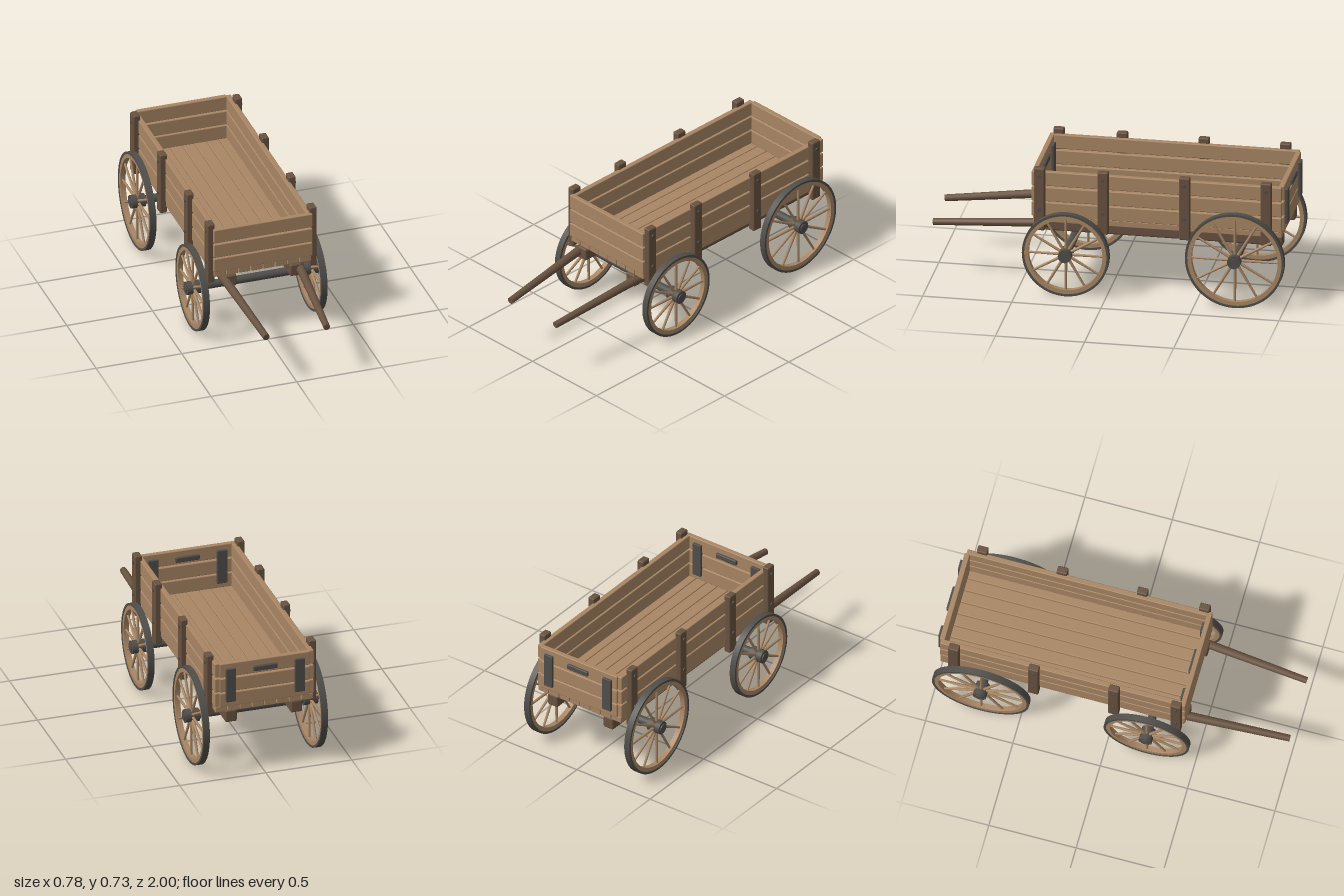
import * as THREE from 'three';
import { toCreasedNormals } from 'three/addons/utils/BufferGeometryUtils.js';
import { RoundedBoxGeometry } from 'three/addons/geometries/RoundedBoxGeometry.js';

const material = (name, color) => {
  const m = new THREE.MeshStandardMaterial({ color });
  m.name = name;
  return m;
};

export function createModel() {
  const plankWood = material('plank wood', 0xa88664);
  const darkWood = material('dark wood', 0x685240);
  const iron = material('iron', 0x504e4a);

  const model = new THREE.Group();
  model.name = 'wagon';

  const add = (parent, name, geometry, mat) => {
    const mesh = new THREE.Mesh(geometry, mat);
    mesh.name = name;
    parent.add(mesh);
    return mesh;
  };

  // Softened box given by its extents on each axis
  const block = (parent, name, mat, [x0, x1], [y0, y1], [z0, z1], radius = 0.005) => {
    const geometry = new RoundedBoxGeometry(x1 - x0, y1 - y0, z1 - z0, 2, radius);
    const mesh = add(parent, name, geometry, mat);
    mesh.position.set((x0 + x1) / 2, (y0 + y1) / 2, (z0 + z1) / 2);
    return mesh;
  };

  // Tapered round bar between two points
  const bar = (parent, name, mat, from, to, r0, r1, sides = 16) => {
    const a = new THREE.Vector3(...from);
    const b = new THREE.Vector3(...to);
    const dir = b.clone().sub(a);
    const mesh = add(parent, name, new THREE.CylinderGeometry(r1, r0, dir.length(), sides), mat);
    mesh.position.copy(a).add(b).multiplyScalar(0.5);
    mesh.quaternion.setFromUnitVectors(new THREE.Vector3(0, 1, 0), dir.normalize());
    return mesh;
  };

  // Flat ring with its axis along x
  const ring = (outer, inner, width) => {
    const shape = new THREE.Shape().absarc(0, 0, outer, 0, Math.PI * 2, false);
    shape.holes.push(new THREE.Path().absarc(0, 0, inner, 0, Math.PI * 2, true));
    const geometry = new THREE.ExtrudeGeometry(shape, { depth: width, bevelEnabled: false, curveSegments: 56 });
    geometry.translate(0, 0, -width / 2).rotateY(Math.PI / 2);
    return toCreasedNormals(geometry, 0.5);
  };

  // Floor planks
  const floor = new THREE.Group();
  floor.name = 'floor';
  model.add(floor);
  for (let i = 0; i < 8; i++) {
    const x = (i - 3.5) * 0.0712;
    block(floor, 'floorPlank', plankWood, [x - 0.034, x + 0.034], [0.403, 0.438], [-0.975, 0.42], 0.004);
  }

  // Three rows of boards on every wall
  const walls = new THREE.Group();
  walls.name = 'walls';
  model.add(walls);
  for (const y of [0.438, 0.528, 0.62]) {
    const span = [y, y + 0.083];
    block(walls, 'frontBoard', plankWood, [-0.288, 0.288], span, [0.4, 0.428]);
    block(walls, 'backBoard', plankWood, [-0.262, 0.262], span, [-0.985, -0.955]);
    block(walls, 'rightBoard', plankWood, [-0.288, -0.258], span, [-0.975, 0.402]);
    block(walls, 'leftBoard', plankWood, [0.258, 0.288], span, [-0.975, 0.402]);
  }

  // Iron straps and grips on the end walls
  for (const [z0, z1] of [[0.385, 0.403], [-1, -0.982]]) {
    for (const x of [-0.2, 0.2]) {
      block(walls, 'endStrap', iron, [x - 0.029, x + 0.029], [0.47, 0.673], [z0, z1], 0.003);
    }
    block(walls, 'grip', iron, [-0.07, 0.07], [0.637, 0.668], [z0, z1], 0.006);
  }

  for (const side of [-1, 1]) {
    const half = new THREE.Group();
    half.name = side > 0 ? 'leftSide' : 'rightSide';
    model.add(half);
    const across = (a, b) => (side > 0 ? [a, b] : [-b, -a]);

    // Upright posts with bolts
    for (const z of [0.38, 0.024, -0.435, -0.892]) {
      block(half, 'post', darkWood, across(0.277, 0.318), [0.364, 0.733], [z - 0.03, z + 0.03], 0.007);
      for (const y of [0.487, 0.685]) {
        bar(half, 'bolt', iron, [side * 0.31, y, z], [side * 0.324, y, z], 0.011, 0.01, 12);
      }
    }

    // Rail under the floor and the pulling shaft
    block(half, 'underRail', darkWood, across(0.156, 0.224), [0.33, 0.403], [-0.97, 0.432], 0.01);
    bar(half, 'shaft', darkWood, [side * 0.224, 0.378, 0.34], [side * 0.176, 0.315, 0.998], 0.026, 0.019, 12);
  }

  // Axles and spoked wheels
  for (const [label, z, radius] of [['front', 0.225, 0.244], ['rear', -0.724, 0.278]]) {
    bar(model, label + 'Axle', iron, [-0.39, radius, z], [0.39, radius, z], 0.0235, 0.0235, 20);
    for (const side of [-1, 1]) {
      const wheel = new THREE.Group();
      wheel.name = label + (side > 0 ? 'LeftWheel' : 'RightWheel');
      wheel.position.set(side * 0.343, radius, z);
      model.add(wheel);
      add(wheel, 'tire', ring(radius, radius - 0.013, 0.036), iron);
      add(wheel, 'rim', ring(radius - 0.013, radius - 0.036, 0.03), plankWood);
      bar(wheel, 'hub', iron, [-0.041, 0, 0], [0.041, 0, 0], 0.038, 0.038, 20);
      for (let i = 0; i < 12; i++) {
        const a = (i / 12) * Math.PI * 2;
        const c = Math.cos(a), s = Math.sin(a);
        const end = radius - 0.03;
        bar(wheel, 'spoke', plankWood, [0, s * 0.03, c * 0.03], [0, s * end, c * end], 0.009, 0.0065, 8);
      }
    }
  }

  return model;
}
